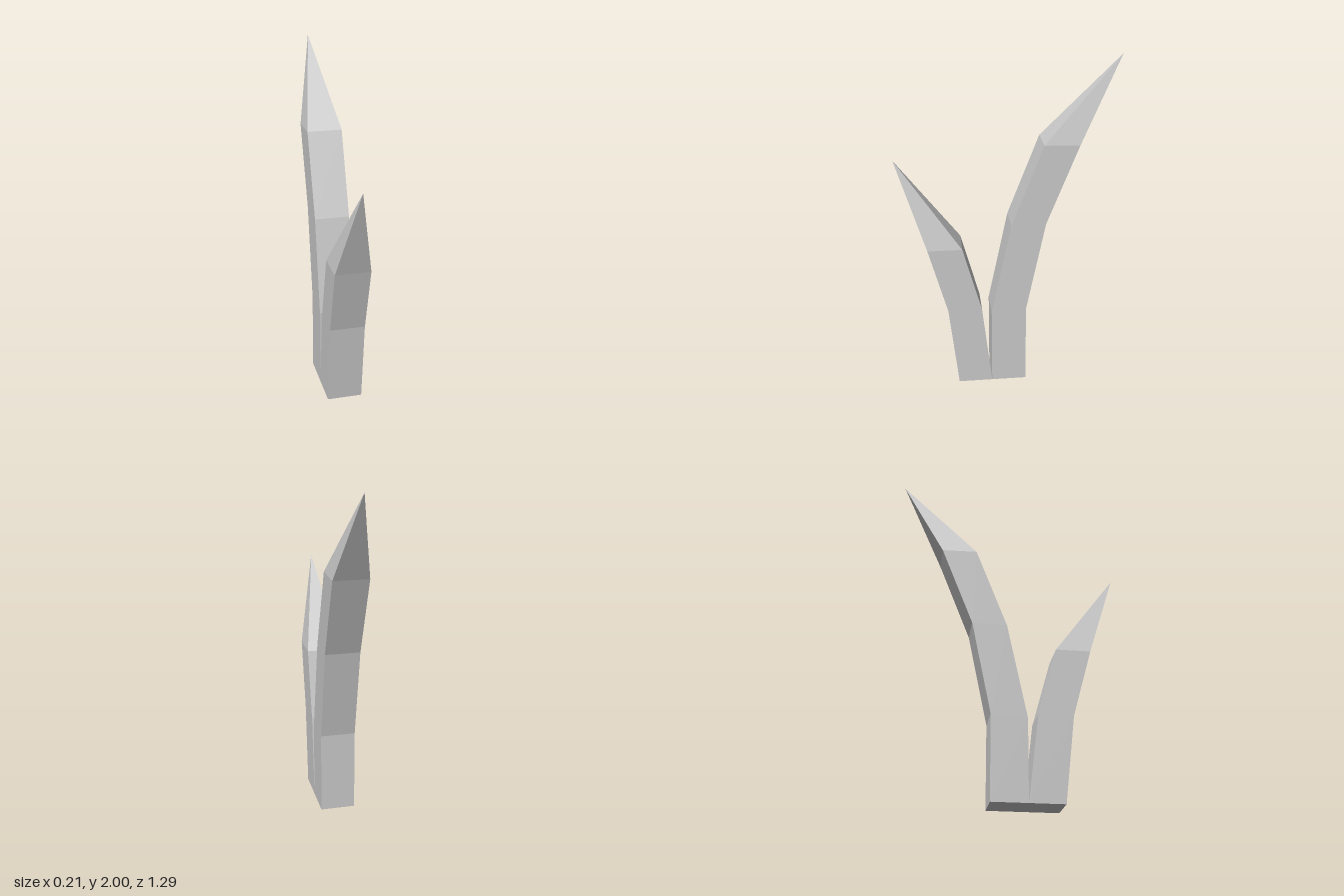
import * as THREE from 'three';

const HALF_WIDTH = 0.103;

// Square-section blade: each ring is [zFront, yFront, zBack, yBack]; the tip is [z, y]
function makeBlade(name, rings, tip, material) {
  const positions = [];
  const index = [];
  for (const [zf, yf, zb, yb] of rings) {
    positions.push(HALF_WIDTH, yf, zf, HALF_WIDTH, yb, zb);
    positions.push(-HALF_WIDTH, yb, zb, -HALF_WIDTH, yf, zf);
  }
  positions.push(0, tip[1], tip[0]);
  const tipIndex = rings.length * 4;

  // flat base
  index.push(0, 2, 1, 0, 3, 2);
  // sides between rings, then the pointed end
  rings.forEach((_, r) => {
    for (let i = 0; i < 4; i++) {
      const a = r * 4 + i;
      const b = r * 4 + (i + 1) % 4;
      if (r < rings.length - 1) index.push(a, b, b + 4, a, b + 4, a + 4);
      else index.push(a, b, tipIndex);
    }
  });

  const indexed = new THREE.BufferGeometry();
  indexed.setAttribute('position', new THREE.Float32BufferAttribute(positions, 3));
  indexed.setIndex(index);
  const geometry = indexed.toNonIndexed();
  geometry.computeVertexNormals();
  const mesh = new THREE.Mesh(geometry, material);
  mesh.name = name;
  return mesh;
}

export function createModel() {
  const group = new THREE.Group();
  group.name = 'sprout';
  const material = new THREE.MeshStandardMaterial({ color: 0xcccccc, flatShading: true });

  // tall blade bending backward
  group.add(makeBlade('tallBlade', [
    [0.102, 0, -0.106, 0],
    [0.102, 0.475, -0.106, 0.49],
    [-0.015, 1.035, -0.218, 1.04],
    [-0.2, 1.515, -0.403, 1.51],
  ], [-0.647, 2], material));

  // short blade bending forward
  group.add(makeBlade('shortBlade', [
    [0.305, 0, 0.102, 0],
    [0.362, 0.5, 0.16, 0.5],
    [0.472, 0.9, 0.27, 0.9],
  ], [0.647, 1.425], material));

  return group;
}
